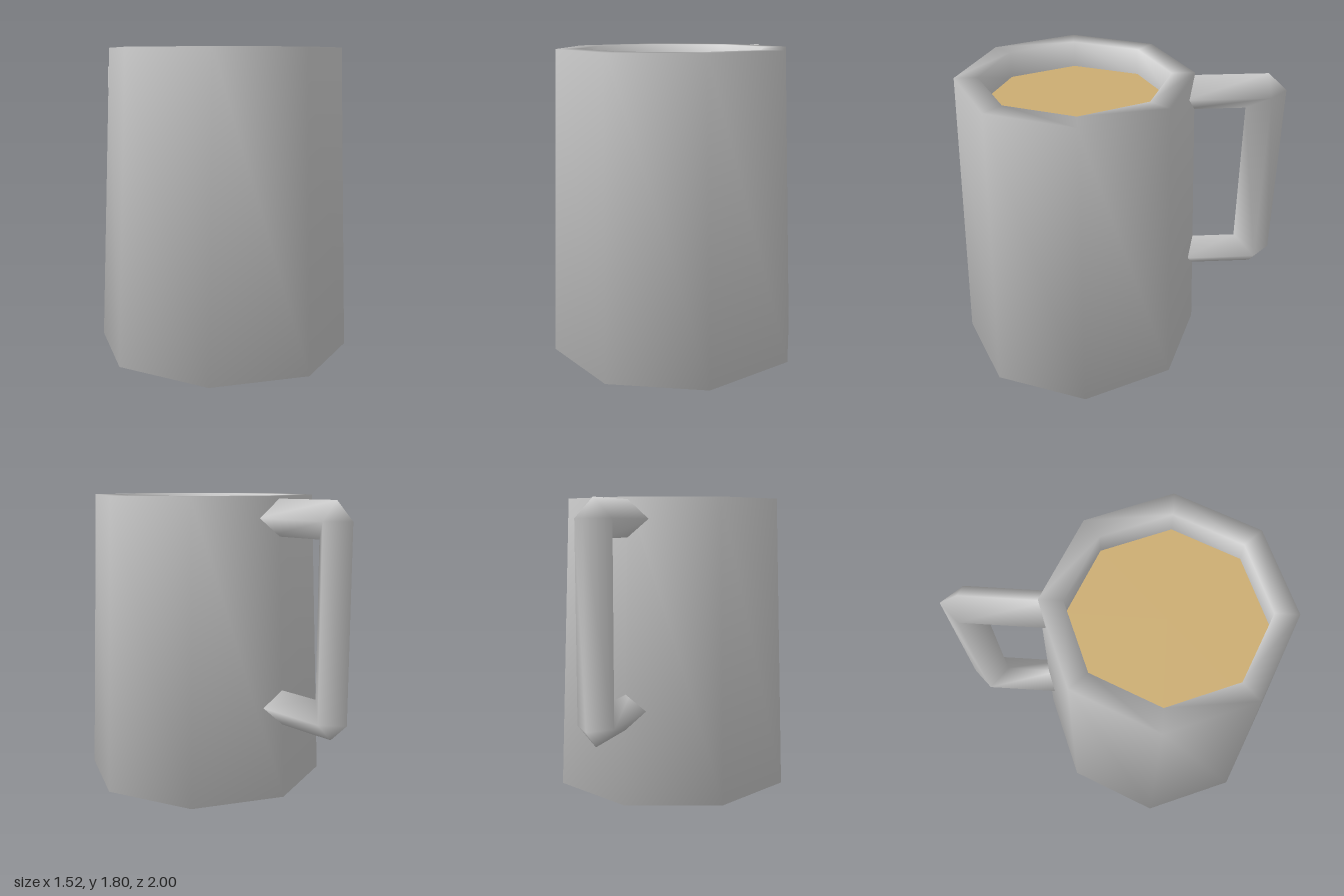
import * as THREE from 'three';
import { mergeVertices } from 'three/addons/utils/BufferGeometryUtils.js';

const AXIS_Z = 0.24; // the cup sits forward, the handle behind it
const SIDES = 8;

function material(name, color) {
  const m = new THREE.MeshStandardMaterial({ color });
  m.name = name;
  return m;
}

function part(name, geometry, mat) {
  const mesh = new THREE.Mesh(geometry, mat);
  mesh.name = name;
  return mesh;
}

// Tapered octagonal cup: underside, outer wall, flat rim and inner wall
function cupGeometry() {
  const profile = [[0, 0], [0.76, 0], [0.69, 1.8], [0.555, 1.8], [0.555, 1.63]];
  return new THREE.LatheGeometry(profile.map(([r, y]) => new THREE.Vector2(r, y)), SIDES);
}

// Diamond-section bar joining rings of [outer y, outer z, side y, side z, inner y, inner z]
function handleGeometry() {
  const half = 0.11;
  const rings = [
    [1.785, -0.38, 1.675, -0.38, 1.57, -0.38],
    [1.785, -0.885, 1.675, -0.885, 1.57, -0.765],
    [1.675, -1, 1.675, -0.885, 1.57, -0.765],
    [0.565, -1, 0.565, -0.885, 0.665, -0.765],
    [0.455, -0.885, 0.565, -0.885, 0.665, -0.765],
    [0.455, -0.42, 0.565, -0.42, 0.665, -0.42],
  ];
  const positions = [];
  const index = [];
  for (const [oy, oz, sy, sz, iy, iz] of rings) {
    positions.push(0, oy, oz, half, sy, sz, 0, iy, iz, -half, sy, sz);
  }
  for (let i = 0; i < rings.length - 1; i++) {
    for (let k = 0; k < 4; k++) {
      const a = i * 4 + k;
      const b = i * 4 + (k + 1) % 4;
      index.push(a, b, a + 4, b, b + 4, a + 4);
    }
  }
  const geometry = new THREE.BufferGeometry();
  geometry.setAttribute('position', new THREE.Float32BufferAttribute(positions, 3));
  geometry.setIndex(index);
  const smooth = mergeVertices(geometry);
  smooth.computeVertexNormals();
  return smooth;
}

export function createModel() {
  const grey = material('grey', 0xcccccc);
  const drinkColor = material('tan', 0xccad72);

  const cup = part('cup', cupGeometry(), grey);
  cup.position.z = AXIS_Z;

  // Drink surface just below the rim
  const drink = part('drink', new THREE.CircleGeometry(0.555, SIDES).rotateX(-Math.PI / 2), drinkColor);
  drink.position.set(0, 1.64, AXIS_Z);

  const model = new THREE.Group();
  model.name = 'mug';
  model.add(cup, drink, part('handle', handleGeometry(), grey));
  return model;
}
